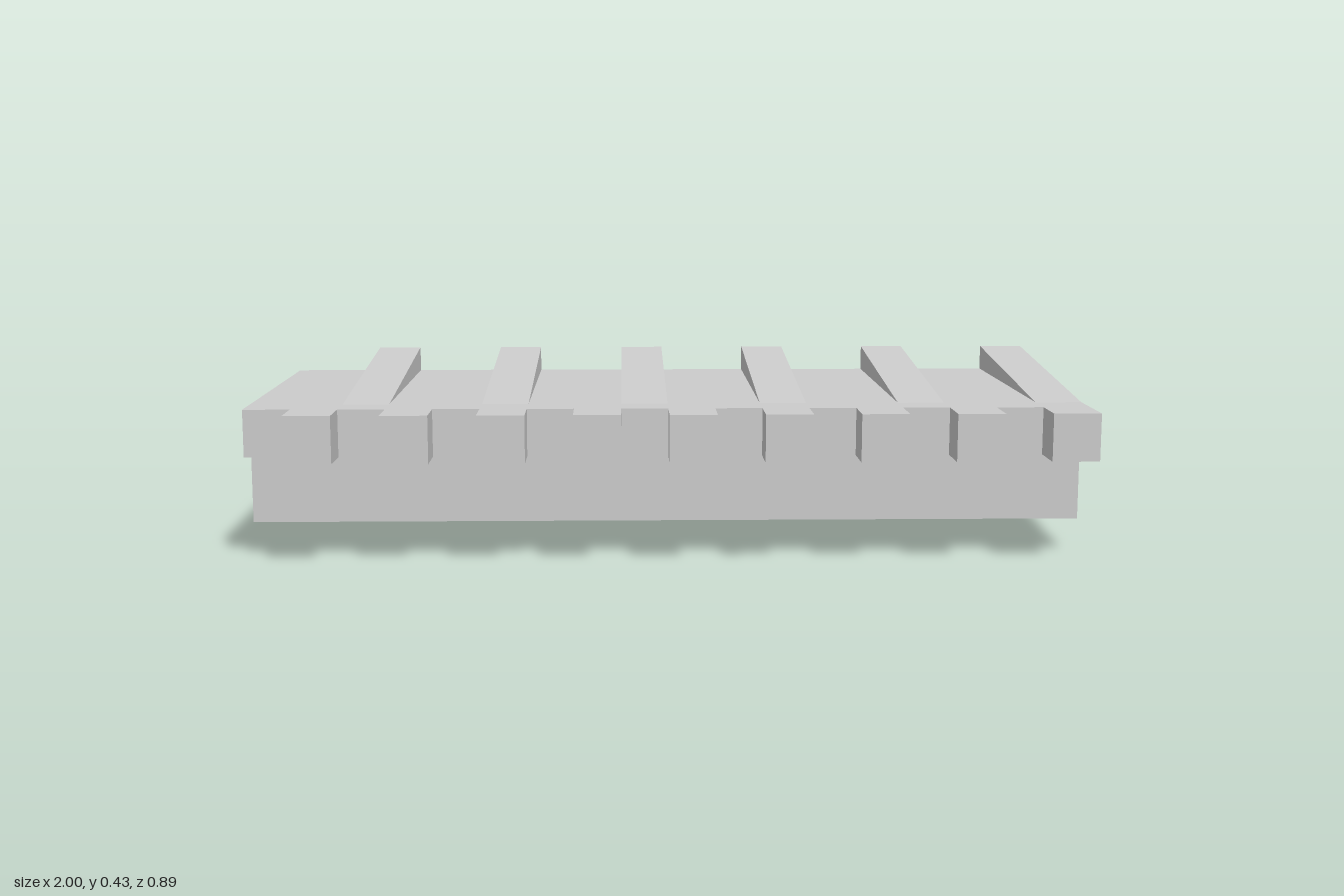
import * as THREE from 'three';

const material = new THREE.MeshStandardMaterial({ color: 0xcccccc, flatShading: true });
const UNIT = 2 / 18; // the width is divided into 18 equal steps
const BACK = -0.445, FACE = 0.253, LIP = 0.338, FRONT = 0.445;
const DECK = 0.37, LIP_UNDER = 0.257, TOP = 0.433;

// Extrude a (z, y) side profile between x0 and x1
function slab(name, profile, x0, x1) {
  const shape = new THREE.Shape(profile.map(([z, y]) => new THREE.Vector2(z, y)));
  const geometry = new THREE.ExtrudeGeometry(shape, { depth: x1 - x0, bevelEnabled: false });
  geometry.rotateY(-Math.PI / 2).translate(x1, 0, 0);
  const mesh = new THREE.Mesh(geometry, material);
  mesh.name = name;
  return mesh;
}

export function createModel() {
  const group = new THREE.Group();
  group.name = 'ribbedBlock';

  // Main body: sloping underside, flat deck, overhanging front lip
  group.add(slab('body', [
    [BACK, 0], [FACE, 0.084], [FACE, LIP_UNDER], [LIP, LIP_UNDER], [LIP, DECK], [BACK, DECK],
  ], -1, 1));

  // Wedge ribs rising toward the back
  for (let i = 0; i < 6; i++) {
    const x = -1 + (2 + 3 * i) * UNIT;
    group.add(slab(`rib${i + 1}`, [[BACK, DECK], [FACE, DECK], [BACK, TOP]], x, x + UNIT));
  }

  // Square teeth along the front lip
  for (let i = 0; i < 9; i++) {
    const tooth = new THREE.Mesh(new THREE.BoxGeometry(UNIT, DECK - LIP_UNDER, FRONT - LIP), material);
    tooth.position.set(-1 + (1.5 + 2 * i) * UNIT, (DECK + LIP_UNDER) / 2, (FRONT + LIP) / 2);
    tooth.name = `tooth${i + 1}`;
    group.add(tooth);
  }
  return group;
}
